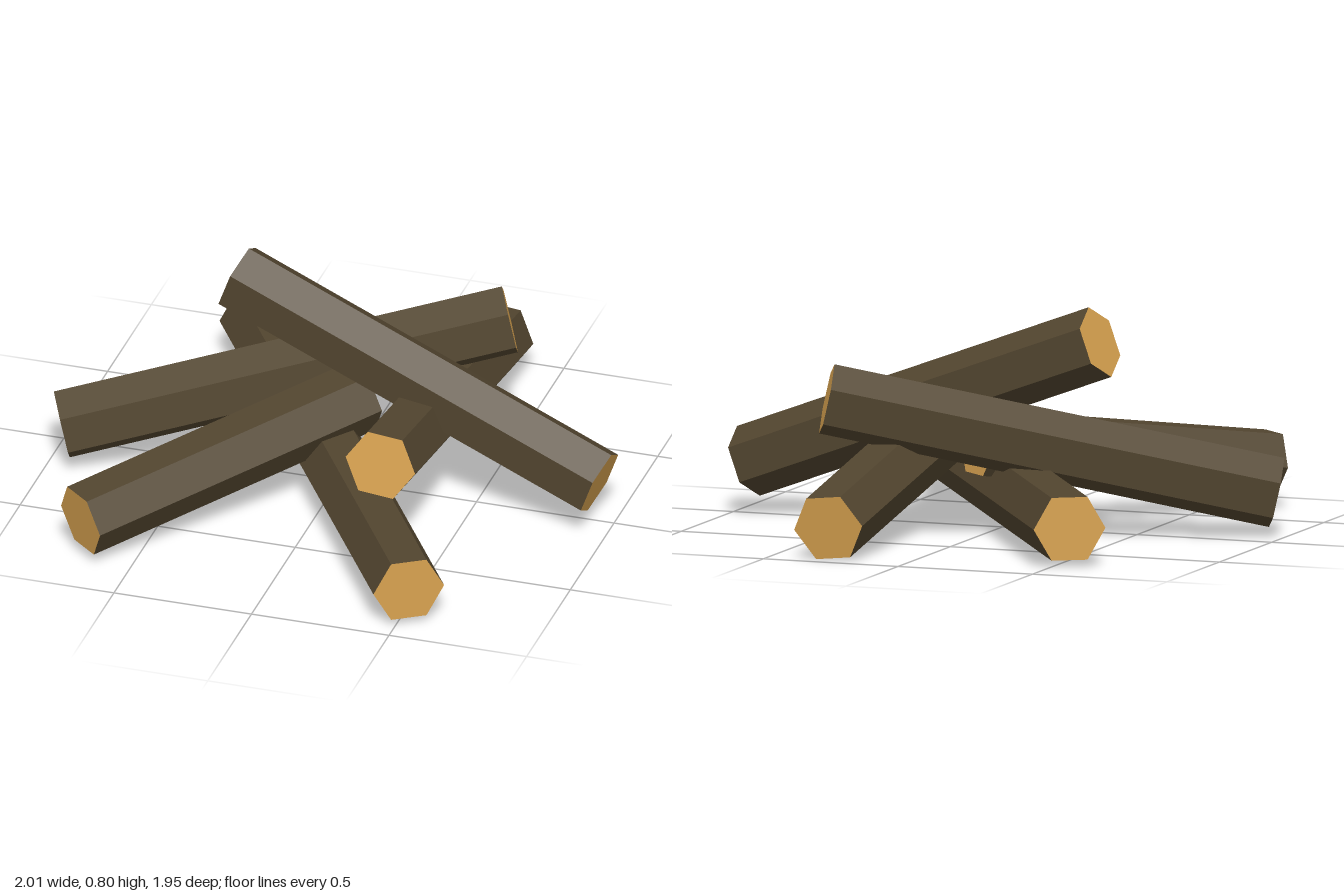
import * as THREE from 'three';

const RADIUS = 0.127;

// name, centre of first end, centre of second end, roll in degrees
const LOGS = [
  ['groundLog', [-0.56, 0.14, -0.80], [0.54, 0.14, 0.90], 0],
  ['leaningLogLeft', [0.30, 0.365, 0.47], [0.275, 0.12, -0.96], 6],
  ['leaningLogRight', [-0.955, 0.155, 0.165], [0.48, 0.49, -0.445], 23],
  ['shortFrontLog', [-0.685, 0.155, 0.80], [0.06, 0.31, -0.08], 0],
  ['topLog', [-0.405, 0.69, -0.11], [0.96, 0.18, 0.04], 30],
];

export function createModel() {
  const bark = new THREE.MeshStandardMaterial({ color: 0x52452f, flatShading: true });
  bark.name = 'bark';
  const cutWood = new THREE.MeshStandardMaterial({ color: 0xd9a350, flatShading: true });
  cutWood.name = 'cutWood';

  const group = new THREE.Group();
  group.name = 'logPile';

  for (const [name, start, end, roll] of LOGS) {
    const a = new THREE.Vector3(...start);
    const b = new THREE.Vector3(...end);
    const along = b.clone().sub(a);

    // Six-sided log: bark on the sides, cut wood on both ends
    const geometry = new THREE.CylinderGeometry(RADIUS, RADIUS, along.length(), 6);
    geometry.rotateY(THREE.MathUtils.degToRad(roll));
    const log = new THREE.Mesh(geometry, [bark, cutWood, cutWood]);
    log.name = name;

    // Lay the log from end to end, keeping its cross axis level
    along.normalize();
    const level = new THREE.Vector3(0, 1, 0).cross(along).normalize();
    const upward = along.clone().cross(level);
    log.quaternion.setFromRotationMatrix(new THREE.Matrix4().makeBasis(upward, along, level));
    log.position.copy(a).add(b).multiplyScalar(0.5);
    group.add(log);
  }
  return group;
}
